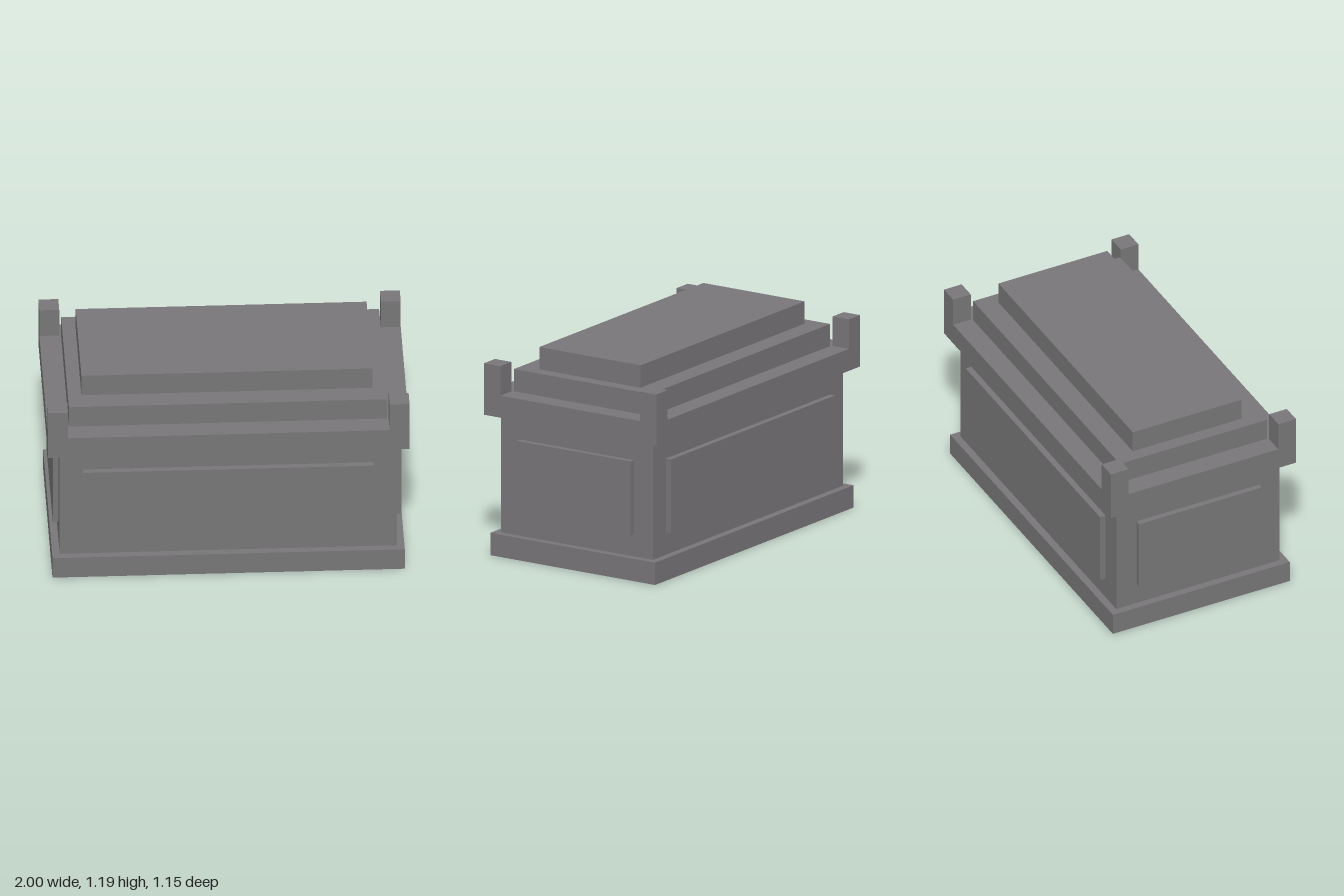
import * as THREE from 'three';

export function createModel() {
  const model = new THREE.Group();
  model.name = 'stoneTomb';
  const stone = new THREE.MeshStandardMaterial({ color: 0x787678 });
  stone.name = 'grey stone';

  // Box from its half extents in x and z, bottom and top heights, and centre
  const block = (name, hx, hz, y0, y1, x = 0, z = 0) => {
    const mesh = new THREE.Mesh(new THREE.BoxGeometry(hx * 2, y1 - y0, hz * 2), stone);
    mesh.name = name;
    mesh.position.set(x, (y0 + y1) / 2, z);
    model.add(mesh);
  };

  // Stacked tiers
  block('plinth', 0.975, 0.551, 0, 0.128);
  block('body', 0.933, 0.508, 0.128, 0.807);
  block('rimSlab', 1, 0.577, 0.807, 0.933);
  block('lowerLid', 0.88, 0.458, 0.933, 1.06);
  block('upperLid', 0.805, 0.339, 1.06, 1.188);

  // Raised panels on all four walls
  for (const s of [1, -1]) {
    block(s > 0 ? 'frontPanel' : 'backPanel', 0.805, 0.0225, 0.256, 0.68, 0, s * 0.5205);
    block(s > 0 ? 'leftPanel' : 'rightPanel', 0.022, 0.382, 0.256, 0.68, s * 0.943, 0);
  }

  // Corner posts standing on the rim
  for (const sx of [1, -1]) {
    for (const sz of [1, -1]) {
      const name = (sz > 0 ? 'front' : 'back') + (sx > 0 ? 'Left' : 'Right') + 'Post';
      block(name, 0.055, 0.055, 0.933, 1.102, sx * 0.945, sz * 0.522);
    }
  }
  return model;
}
